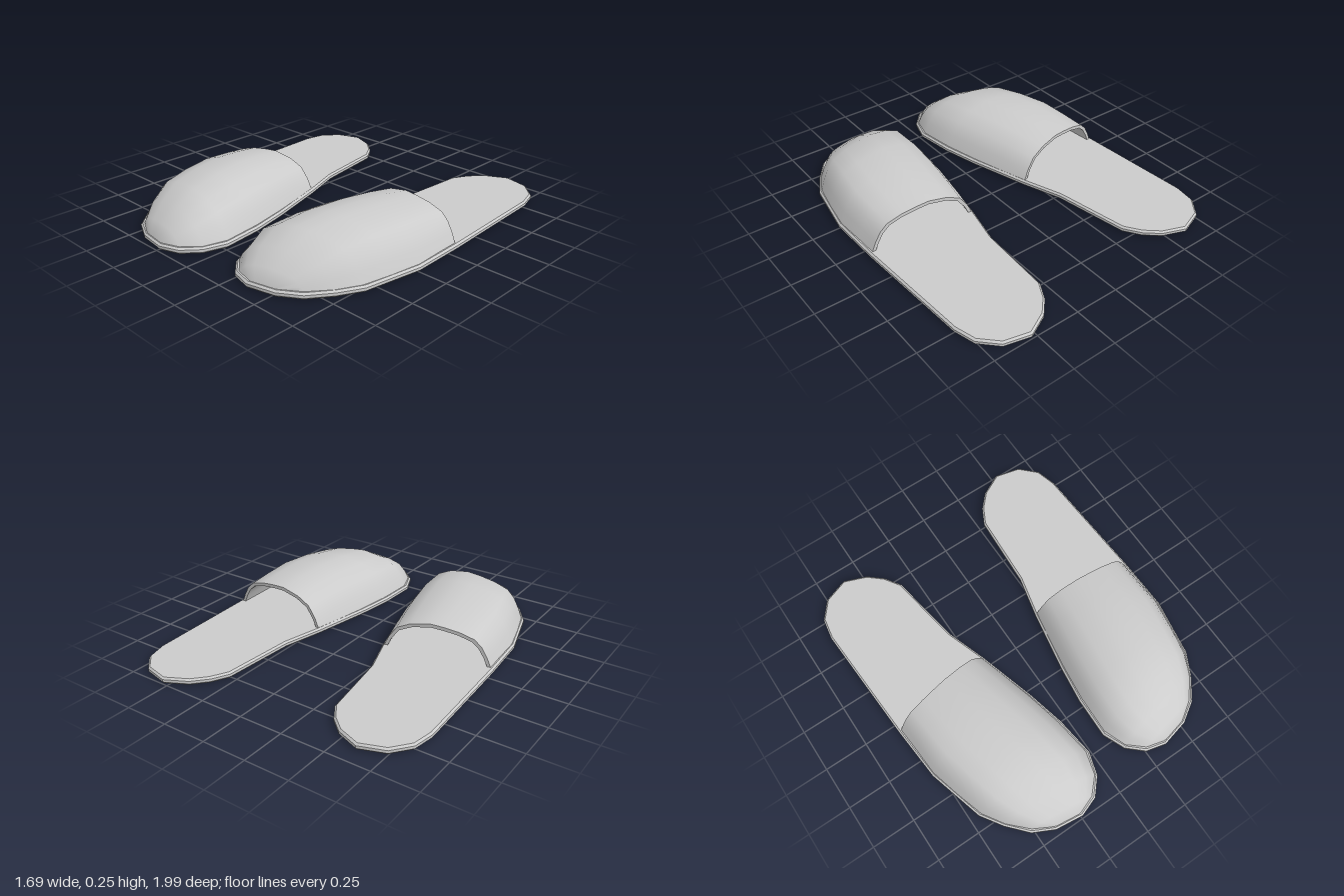
import * as THREE from 'three';
import { toCreasedNormals } from 'three/addons/utils/BufferGeometryUtils.js';

const SOLE_H = 0.035;

// Sole outline (x, z), heel first, along the inner side to the toe and back
const OUTLINE = [
  [-0.61, -0.91], [-0.48, -0.86], [-0.40, -0.79], [-0.34, -0.70], [-0.27, -0.28],
  [-0.19, -0.05], [-0.09, 0.29], [-0.04, 0.50], [-0.01, 0.73], [-0.05, 0.86],
  [-0.13, 0.95], [-0.24, 0.99], [-0.40, 0.97], [-0.52, 0.91], [-0.62, 0.80],
  [-0.70, 0.68], [-0.79, 0.36], [-0.815, 0.05], [-0.85, -0.64], [-0.83, -0.76], [-0.75, -0.86],
];

// Upper stations from opening to toe: outer x, z, inner x, z, crest height
const STATIONS = [
  [-0.80, 0.05, -0.20, -0.05, 0.215],
  [-0.79, 0.18, -0.155, 0.10, 0.235],
  [-0.78, 0.35, -0.105, 0.28, 0.25],
  [-0.735, 0.52, -0.055, 0.50, 0.25],
  [-0.685, 0.68, -0.025, 0.72, 0.23],
  [-0.61, 0.795, -0.06, 0.85, 0.165],
  [-0.51, 0.895, -0.14, 0.935, 0.10],
  [-0.40, 0.955, -0.24, 0.975, 0.04],
];

// Arch of the upper: position across (outer to inner) and relative height
const ARCH = [
  [0, 0], [0.04, 0.3], [0.09, 0.58], [0.16, 0.79], [0.30, 0.92], [0.45, 0.98],
  [0.57, 1], [0.75, 0.88], [0.88, 0.67], [0.955, 0.33], [1, 0],
];

function soleGeometry(side) {
  const shape = new THREE.Shape(OUTLINE.map(([x, z]) => new THREE.Vector2(x * side, -z)));
  const bevel = 0.01;
  const geo = new THREE.ExtrudeGeometry(shape, {
    depth: SOLE_H - 2 * bevel, bevelEnabled: true, bevelSegments: 1,
    bevelSize: bevel, bevelThickness: bevel, bevelOffset: -bevel,
  });
  geo.rotateX(-Math.PI / 2).translate(0, bevel, 0);
  return toCreasedNormals(geo, 0.6);
}

// One arched cross-section, shrunk by t for the lining
function section([ox, oz, ix, iz, h], t) {
  const d = t / Math.hypot(ix - ox, iz - oz);
  const base = SOLE_H - 0.005;
  return ARCH.map(([s, k]) => {
    const u = d + s * (1 - 2 * d);
    return [ox + (ix - ox) * u, base + (h - t - base) * k, oz + (iz - oz) * u];
  });
}

// Lining from toe to opening, then the outside from opening to toe
function upperGeometry(side) {
  const lining = STATIONS.slice(0, -1).map((s) => section(s, 0.02)).reverse();
  const rows = [...lining, ...STATIONS.map((s) => section(s, 0))];
  const n = ARCH.length;
  const index = [];
  for (let i = 0; i < rows.length - 1; i++) {
    for (let j = 0; j < n - 1; j++) {
      const a = i * n + j, b = a + n;
      if (side > 0) index.push(a, b, a + 1, b, b + 1, a + 1);
      else index.push(a, a + 1, b, b, a + 1, b + 1);
    }
  }
  // Close the tip of the toe down to the sole
  const last = (rows.length - 1) * n;
  for (let j = 1; j < n - 1; j++) {
    if (side > 0) index.push(last, last + j + 1, last + j);
    else index.push(last, last + j, last + j + 1);
  }
  const pos = rows.flat().flatMap(([x, y, z]) => [x * side, y, z]);
  const geo = new THREE.BufferGeometry();
  geo.setAttribute('position', new THREE.Float32BufferAttribute(pos, 3));
  geo.setIndex(index);
  return toCreasedNormals(geo, 0.95);
}

function makeSlipper(name, side, material) {
  const slipper = new THREE.Group();
  slipper.name = name;
  const sole = new THREE.Mesh(soleGeometry(side), material);
  sole.name = 'sole';
  const upper = new THREE.Mesh(upperGeometry(side), material);
  upper.name = 'upper';
  slipper.add(sole, upper);
  return slipper;
}

export function createModel() {
  const model = new THREE.Group();
  model.name = 'slippers';
  const material = new THREE.MeshStandardMaterial({ color: 0xcccccc, side: THREE.DoubleSide });
  const right = makeSlipper('rightSlipper', 1, material);
  // The left slipper is a mirrored copy, turned slightly
  const left = makeSlipper('leftSlipper', -1, material);
  left.rotation.y = 0.107;
  left.position.set(0.02, 0, -0.028);
  model.add(right, left);
  return model;
}
